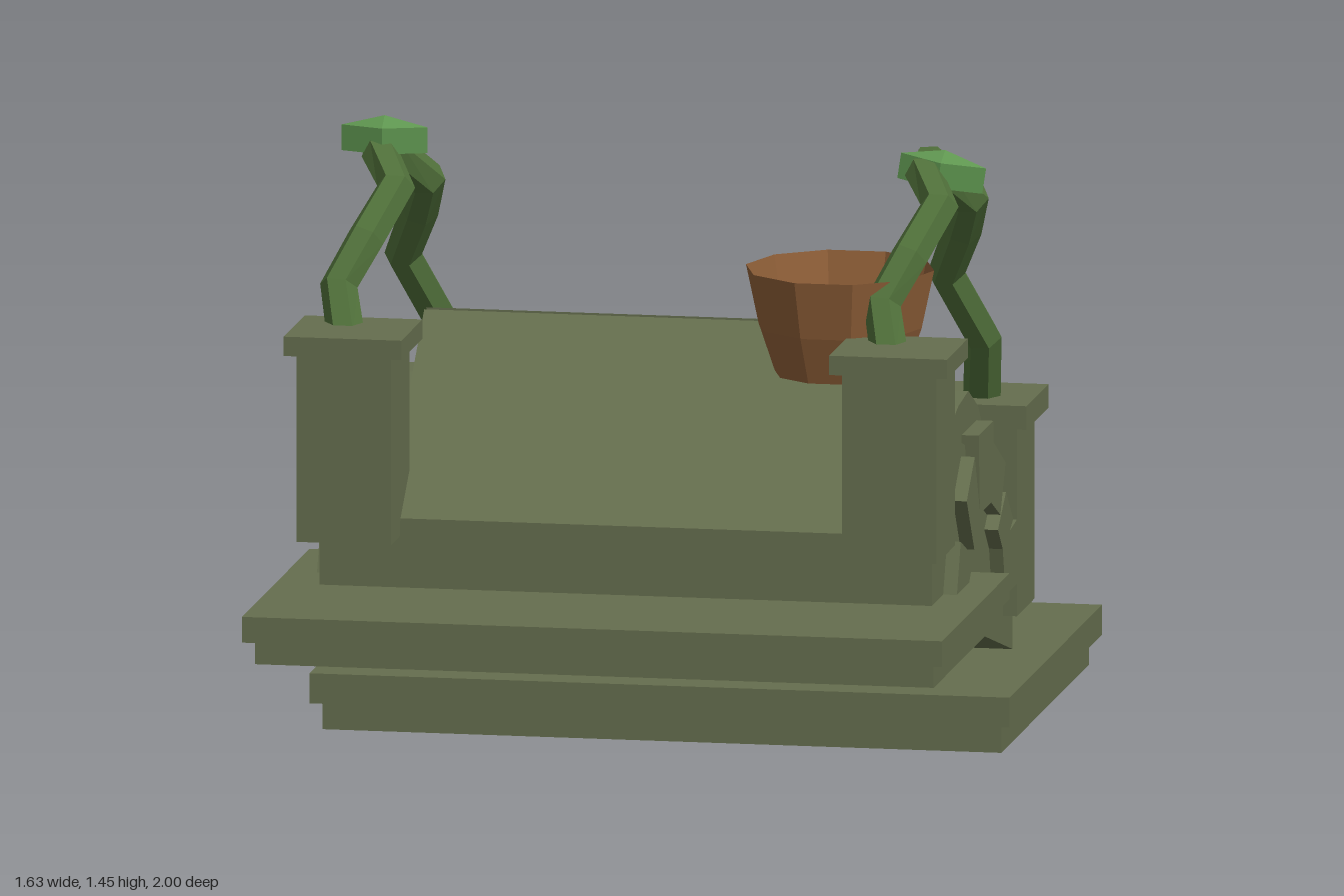
import * as THREE from 'three';

const material = (name, color, options = {}) => {
  const m = new THREE.MeshStandardMaterial({ color, flatShading: true, ...options });
  m.name = name;
  return m;
};

// Straight-segment path, so the tube keeps its kinks
class KinkedPath extends THREE.Curve {
  constructor(points) {
    super();
    this.points = points;
  }
  getPoint(t, target = new THREE.Vector3()) {
    const f = Math.min(Math.max(t, 0), 1) * (this.points.length - 1);
    const i = Math.min(Math.floor(f), this.points.length - 2);
    return target.lerpVectors(this.points[i], this.points[i + 1], f - i);
  }
  getPointAt(u, target) { return this.getPoint(u, target); }
  getTangentAt(u, target) { return this.getTangent(u, target); }
}

export function createModel() {
  const group = new THREE.Group();
  const stone = material('mossy stone', 0x656e4e);
  const stem = material('vine green', 0x50703a);
  const leafGreen = material('leaf green', 0x5f9650);
  const clay = material('clay', 0x8f5f38, { side: THREE.DoubleSide });

  const add = (name, geometry, mat) => {
    const mesh = new THREE.Mesh(geometry, mat);
    mesh.name = name;
    group.add(mesh);
    return mesh;
  };
  // Box given by its limits on each axis
  const block = (name, x0, x1, y0, y1, z0, z1) =>
    add(name, new THREE.BoxGeometry(x1 - x0, y1 - y0, z1 - z0), stone)
      .position.set((x0 + x1) / 2, (y0 + y1) / 2, (z0 + z1) / 2);
  // Side profile of [z, y] corners extruded from x0 to x1
  const profile = (name, corners, x0, x1) => {
    const shape = new THREE.Shape(corners.map(([z, y]) => new THREE.Vector2(-z, y)));
    const g = new THREE.ExtrudeGeometry(shape, { depth: x1 - x0, bevelEnabled: false });
    g.rotateY(Math.PI / 2);
    g.translate(x0, 0, 0);
    return add(name, g, stone);
  };

  // Two stepped landings, front one higher
  block('frontLanding', -0.815, 0.815, 0.365, 0.425, 0.155, 1);
  block('frontLandingBase', -0.79, 0.79, 0.31, 0.365, 0.185, 0.97);
  block('backLanding', -0.815, 0.815, 0.065, 0.135, -1, 0.155);
  block('backLandingBase', -0.79, 0.79, 0, 0.065, -0.97, 0.125);

  // Sloping core and the two leaning deck plates
  profile('core', [[0.58, 0.41], [0.58, 0.58], [-0.43, 0.27], [-0.43, 0.135]], -0.56, 0.56);
  profile('frontDeck', [[0.575, 0.585], [0.09, 0.98], [0.09, 0.943], [0.575, 0.548]], -0.56, 0.56);
  profile('backDeck', [[-0.435, 0.27], [0.065, 0.98], [0.065, 0.94], [-0.435, 0.23]], -0.56, 0.56);

  const archStones = [
    [[0.44, 0.42], [0.39, 0.54], [0.23, 0.475], [0.29, 0.42]],
    [[0.315, 0.62], [0.215, 0.705], [0.145, 0.555], [0.22, 0.49]],
    [[0.165, 0.745], [-0.02, 0.745], [-0.01, 0.56], [0.15, 0.56]],
    [[-0.02, 0.695], [-0.17, 0.62], [-0.105, 0.51], [0.01, 0.56]],
    [[-0.075, 0.48], [-0.175, 0.55], [-0.265, 0.47], [-0.145, 0.415]],
    [[-0.13, 0.44], [-0.31, 0.46], [-0.31, 0.31], [-0.17, 0.31]],
  ];
  for (const s of [-1, 1]) {
    // Mirrored limits in x
    const span = (a, b) => (s > 0 ? [a, b] : [-b, -a]);

    // Sloping side wall with a hump and arch stones
    profile('sideWall', [[0.58, 0.41], [0.58, 0.846], [-0.43, 0.545], [-0.43, 0.135]], ...span(0.56, 0.713));
    profile('wallHump', [[0.4, 0.45], [0.4, 0.74], [0.34, 0.78], [0.205, 0.82], [0.08, 0.832],
      [-0.04, 0.775], [-0.19, 0.62], [-0.19, 0.45]], ...span(0.565, 0.705));
    archStones.forEach((corners) => profile('archStone', corners, ...span(0.6, 0.745)));

    // Capped posts
    block('frontPost', ...span(0.525, 0.745), 0.545, 0.98, 0.46, 0.695);
    block('frontPostCap', ...span(0.498, 0.772), 0.98, 1.025, 0.445, 0.71);
    block('backPost', ...span(0.525, 0.745), 0.235, 0.675, -0.53, -0.31);
    block('backPostCap', ...span(0.498, 0.772), 0.675, 0.73, -0.56, -0.285);
  }

  // Crooked vines arching between the posts, each with a leaf on top
  const vine = [
    [-0.66, 0.99, 0.53], [-0.69, 1.1, 0.46], [-0.64, 1.2, 0.385], [-0.59, 1.3, 0.28],
    [-0.645, 1.355, 0.18], [-0.655, 1.36, 0.08], [-0.575, 1.26, -0.03], [-0.61, 1.17, -0.12],
    [-0.665, 1.05, -0.21], [-0.6, 0.88, -0.32], [-0.62, 0.72, -0.41],
  ];
  for (const dx of [0, 1.265]) {
    const points = vine.map(([x, y, z]) => new THREE.Vector3(x + dx, y, z));
    add('vine', new THREE.TubeGeometry(new KinkedPath(points), points.length - 1, 0.044, 6), stem);
  }
  const leafProfile = [[0, -0.03], [0.1, -0.03], [0.1, 0.03], [0, 0.055]]
    .map(([r, y]) => new THREE.Vector2(r, y));
  for (const [x, y, tilt] of [[-0.637, 1.39, 0], [0.66, 1.355, -0.15]]) {
    const leaf = add('leaf', new THREE.LatheGeometry(leafProfile, 4), leafGreen);
    leaf.scale.z = 0.35;
    leaf.rotation.z = tilt;
    leaf.position.set(x, y, 0.172);
  }

  // Open faceted pot
  const potProfile = [[0.152, 0.91], [0.19, 1.02], [0.219, 1.155]].map(([r, y]) => new THREE.Vector2(r, y));
  add('pot', new THREE.LatheGeometry(potProfile, 10, Math.PI / 10), clay).position.set(0.45, 0, 0.315);

  return group;
}
